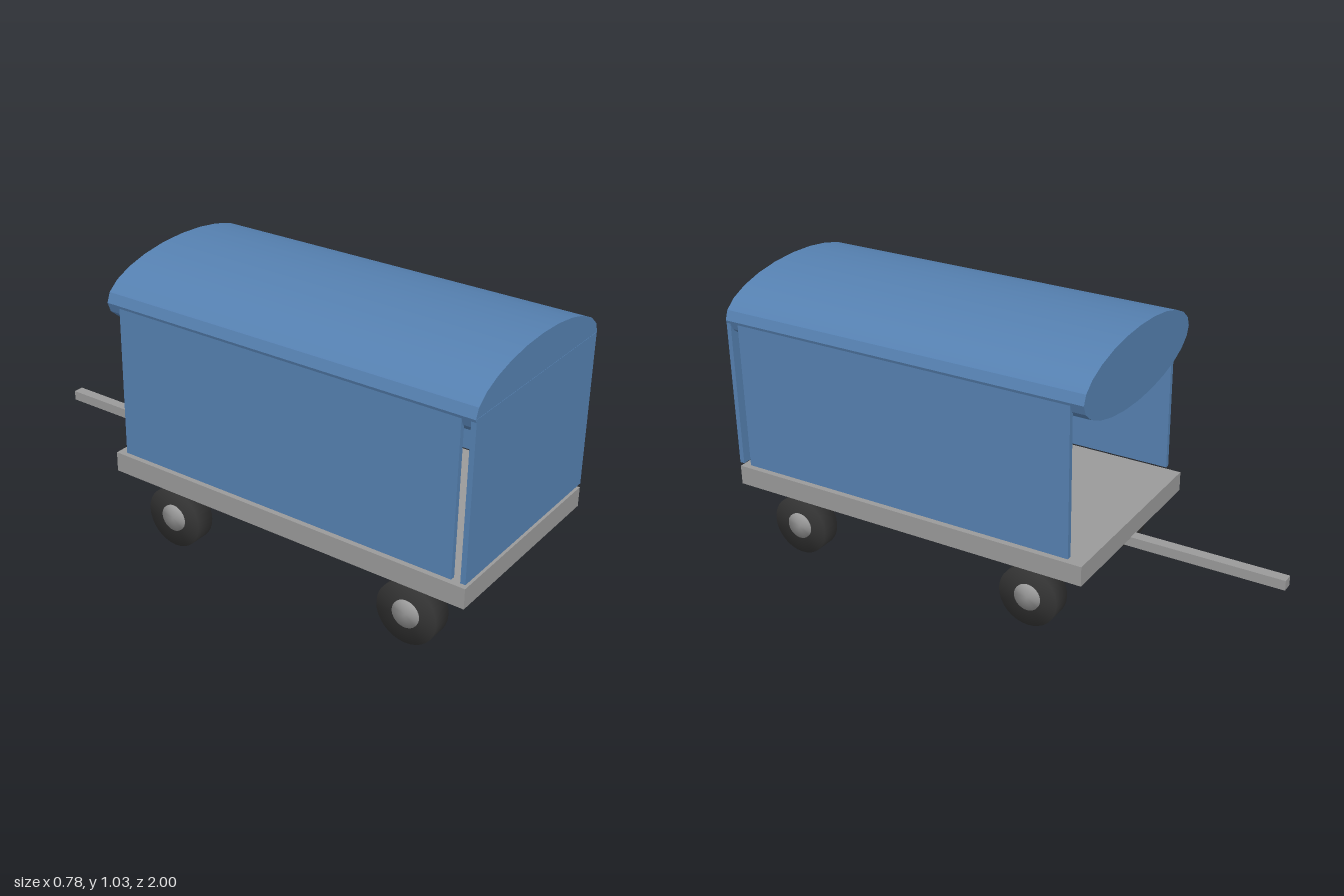
import * as THREE from 'three';
import { mergeVertices, toCreasedNormals } from 'three/addons/utils/BufferGeometryUtils.js';

const material = (color) => new THREE.MeshStandardMaterial({ color });

export function createModel() {
  const model = new THREE.Group();
  model.name = 'coveredTrailer';
  const blue = material(0x5580b0);
  const grey = material(0x999999);
  const rubber = material(0x333333);

  function add(name, geometry, mat, parent = model) {
    const mesh = new THREE.Mesh(geometry, mat);
    mesh.name = name;
    parent.add(mesh);
    return mesh;
  }

  // Box given by its extents along each axis
  function box(name, mat, [x0, x1], [y0, y1], [z0, z1]) {
    const mesh = add(name, new THREE.BoxGeometry(x1 - x0, y1 - y0, z1 - z0), mat);
    mesh.position.set((x0 + x1) / 2, (y0 + y1) / 2, (z0 + z1) / 2);
  }

  // Drum along x with softly shaded rims
  function softDrum(radius, width) {
    const g = new THREE.CylinderGeometry(radius, radius, width, 32);
    g.deleteAttribute('uv');
    g.deleteAttribute('normal');
    const merged = mergeVertices(g);
    merged.computeVertexNormals();
    return merged.rotateZ(Math.PI / 2);
  }

  // Flat bed and tow bar
  box('bed', grey, [-0.385, 0.385], [0.247, 0.321], [-0.43, 1]);
  box('towBar', grey, [-0.02, 0.02], [0.213, 0.25], [-1, -0.385]);

  // Side walls and closed front panel, floating just above the bed
  for (const [side, name] of [[1, 'leftWall'], [-1, 'rightWall']]) {
    box(name, blue, side > 0 ? [0.367, 0.385] : [-0.385, -0.367], [0.336, 0.895], [-0.38, 0.95]);
  }
  box('frontPanel', blue, [-0.385, 0.385], [0.336, 0.9], [0.982, 1]);

  // Elliptical roof running the length of the bed
  const roof = new THREE.CylinderGeometry(1, 1, 1.429, 24);
  roof.rotateX(Math.PI / 2).scale(0.389, 0.135, 1);
  add('roof', toCreasedNormals(roof, 0.5), blue).position.set(0, 0.9, 0.2845);

  // Four wheels with hubs
  const tyre = softDrum(0.113, 0.076);
  const hub = softDrum(0.05, 0.088);
  for (const [z, end] of [[0.772, 'front'], [-0.204, 'rear']]) {
    for (const [x, side] of [[0.307, 'Left'], [-0.307, 'Right']]) {
      const wheel = new THREE.Group();
      wheel.name = `${end}${side}Wheel`;
      add('tyre', tyre, rubber, wheel);
      add('hub', hub, grey, wheel);
      wheel.position.set(x, 0.113, z);
      model.add(wheel);
    }
  }

  return model;
}
